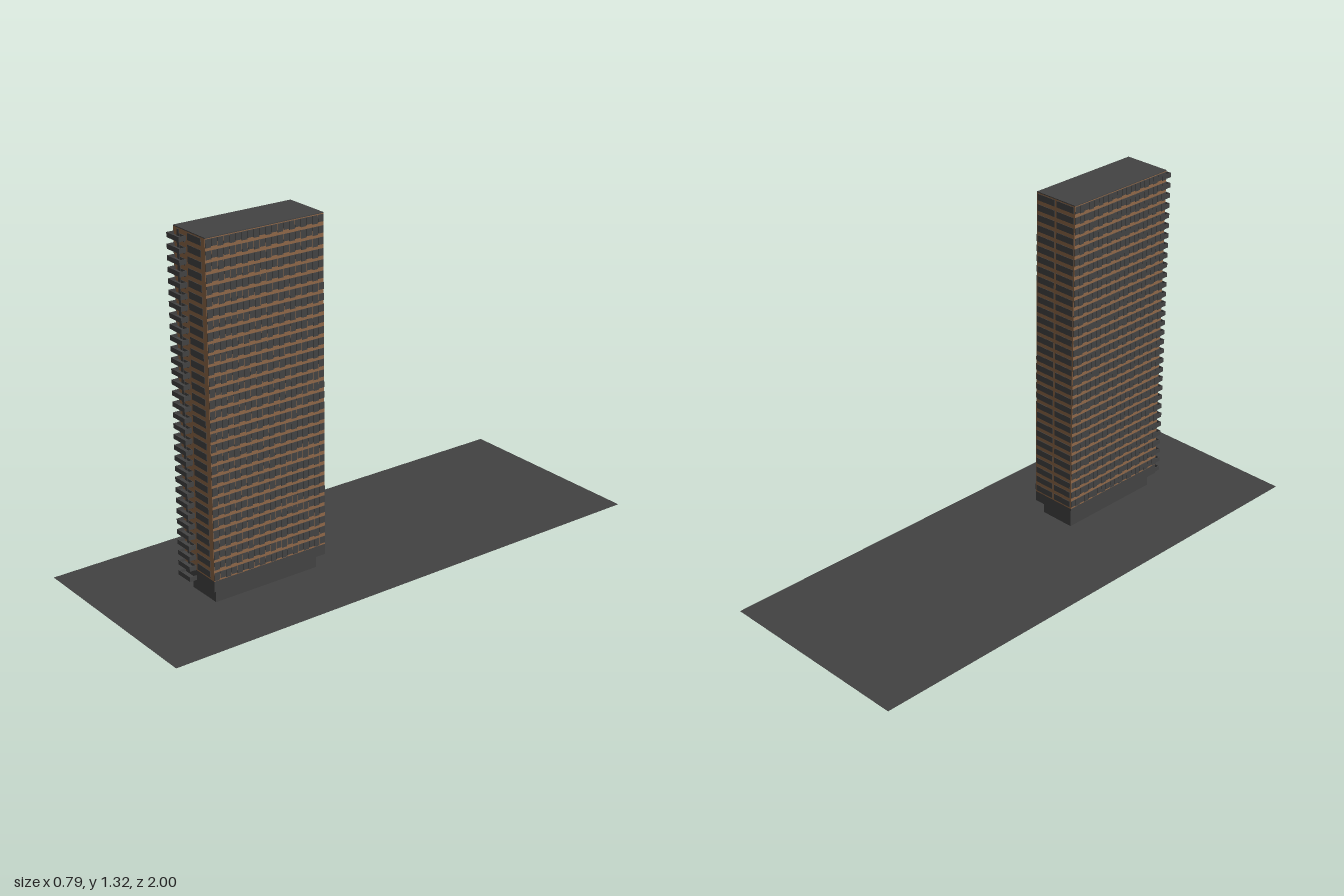
import * as THREE from 'three';
import { mergeGeometries } from 'three/addons/utils/BufferGeometryUtils.js';

const FLOORS = 31, PITCH = 0.0394, BASE = 0.095, TOP = 1.315;
const X0 = -0.055, X1 = 0.129, Z0 = 0.2, Z1 = 0.67;
const PLATE = 0.002;

// box given by its two opposite corners
function box(x0, x1, y0, y1, z0, z1) {
  return new THREE.BoxGeometry(x1 - x0, y1 - y0, z1 - z0)
    .translate((x0 + x1) / 2, (y0 + y1) / 2, (z0 + z1) / 2);
}

export function createModel() {
  const group = new THREE.Group();
  const charcoal = new THREE.MeshStandardMaterial({ color: 0x434343 });
  charcoal.name = 'charcoal';
  const ground = new THREE.MeshStandardMaterial({ color: 0x424242, side: THREE.DoubleSide });
  ground.name = 'ground grey';
  const brick = new THREE.MeshStandardMaterial({ color: 0x8e6748 });
  brick.name = 'brick brown';

  const add = (name, geometries, material) => {
    const mesh = new THREE.Mesh(mergeGeometries(geometries), material);
    mesh.name = name;
    group.add(mesh);
  };

  // flat site
  const site = new THREE.PlaneGeometry(0.79, 2).rotateX(-Math.PI / 2);
  add('site', [site], ground);

  // narrow podium, dark first storey, brick tower and roof
  add('podium', [box(-0.034, 0.106, 0.001, 0.055, 0.222, 0.65)], charcoal);
  add('firstStorey', [box(X0, X1, 0.055, BASE, Z0, Z1)], charcoal);
  add('tower', [box(X0, X1, BASE, TOP - 0.003, Z0, Z1)], brick);
  add('roof', [box(X0, X1, TOP - 0.003, TOP, Z0, Z1)], charcoal);

  const front = [], back = [], sides = [], doors = [];
  const columns = 20, step = (Z1 - Z0) / columns;
  for (let i = 0; i < FLOORS; i++) {
    const y = BASE + i * PITCH;
    const low = y + 0.007, high = y + 0.031;

    // wide front window, with a narrow window and a door by the balcony
    front.push(box(0.03, 0.107, low, high, Z1, Z1 + PLATE));
    doors.push(box(-0.032, -0.018, y + 0.006, high, Z1, Z1 + PLATE));
    doors.push(box(-0.015, 0.013, y - 0.005, y + 0.018, Z1, Z1 + PLATE));

    // two windows across the back
    back.push(box(X0 + 0.005, 0.032, low, high, Z0 - PLATE, Z0));
    back.push(box(0.042, X1 - 0.005, low, high, Z0 - PLATE, Z0));

    // close-set windows on the long sides, every second one deeper
    for (let j = 0; j < columns; j++) {
      const z = Z0 + j * step + 0.001;
      const sill = j % 2 ? low - 0.004 : low;
      for (const x of [X0 - PLATE, X1]) {
        sides.push(box(x, x + PLATE, sill, high + 0.001, z, z + step - 0.002));
      }
    }
  }
  add('frontWindows', front, charcoal);
  add('balconyDoors', doors, charcoal);
  add('backWindows', back, charcoal);
  add('sideWindows', sides, charcoal);

  // stacked balconies: a slab with low parapets
  const balconies = [];
  const bx0 = -0.052, bx1 = 0.02, bz = 0.698, t = 0.003;
  for (let i = 0; i <= FLOORS; i++) {
    const y = 0.0575 + i * PITCH, rail = y + 0.017;
    balconies.push(
      box(bx0, bx1, y, y + 0.006, Z1, bz),
      box(bx0, bx1, y + 0.006, rail, bz - t, bz),
      box(bx0, bx0 + t, y + 0.006, rail, Z1, bz - t),
      box(bx1 - t, bx1, y + 0.006, rail, Z1, bz - t)
    );
  }
  add('balconies', balconies, charcoal);

  return group;
}
